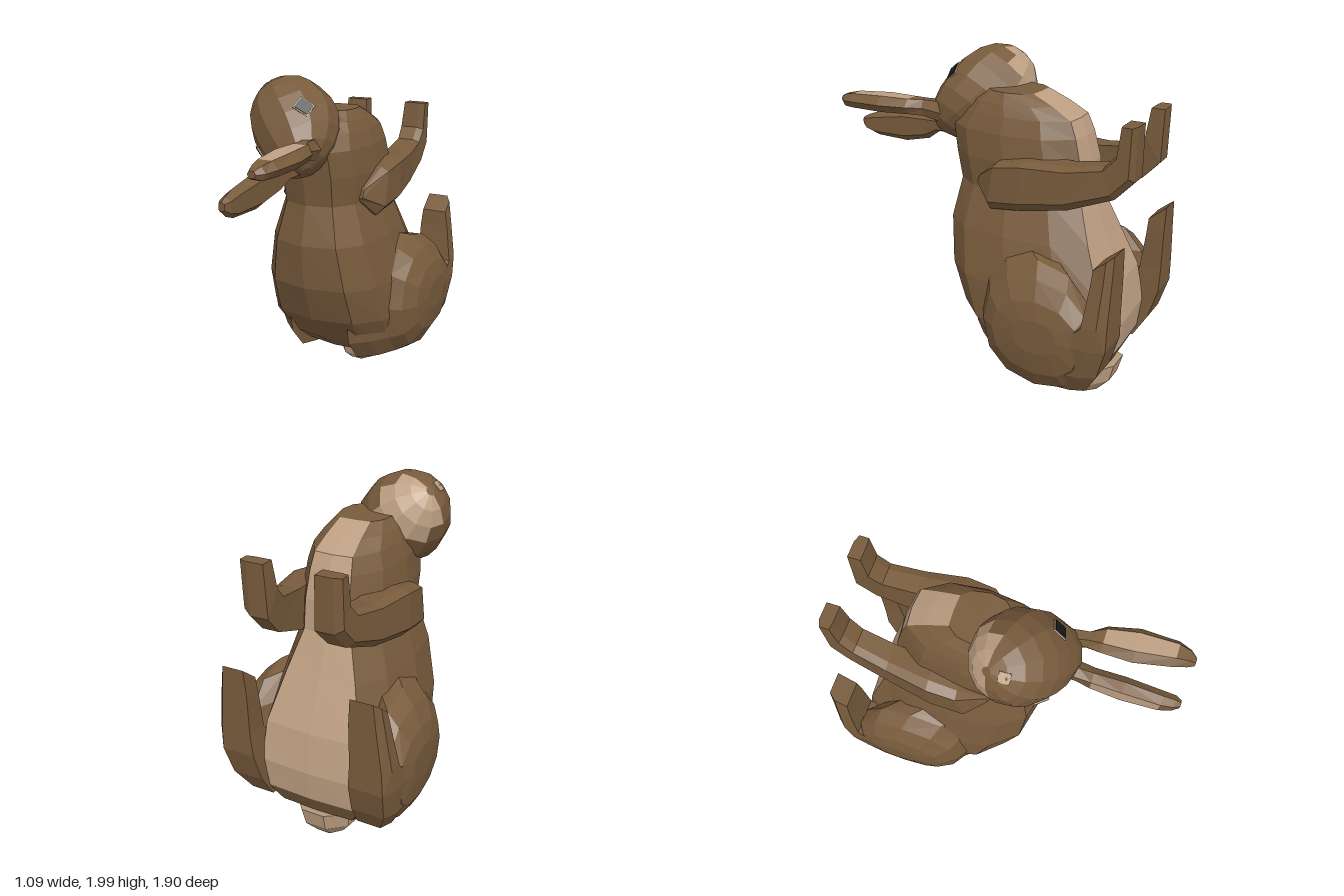
import * as THREE from 'three';

const V = (x, y, z) => new THREE.Vector3(x, y, z);

const fur = new THREE.MeshStandardMaterial({ color: 0x785b3c });
fur.name = 'brown fur';
const cream = new THREE.MeshStandardMaterial({ color: 0xbd9f82 });
cream.name = 'cream fur';
const black = new THREE.MeshStandardMaterial({ color: 0x17191b });
black.name = 'eye black';

// Closed faceted skin over cross-section rings; paint(band, segment, centroid) picks cream faces
function loft(name, rings, paint = () => false) {
  const tris = [[], []];
  let volume = 0;
  const add = (a, b, c, light) => {
    volume += a.dot(b.clone().cross(c));
    tris[light ? 1 : 0].push([a, b, c]);
  };
  const n = rings[0].length;
  for (let i = 0; i < rings.length - 1; i++) {
    for (let j = 0; j < n; j++) {
      const k = (j + 1) % n;
      const [a, b, c, d] = [rings[i][j], rings[i][k], rings[i + 1][k], rings[i + 1][j]];
      const mid = a.clone().add(b).add(c).add(d).multiplyScalar(0.25);
      const light = paint(i, j, mid);
      add(a, b, c, light);
      add(a, c, d, light);
    }
  }
  const centre = (r) => r.reduce((s, p) => s.add(p), V(0, 0, 0)).divideScalar(n);
  const first = rings[0], last = rings[rings.length - 1];
  const c0 = centre(first), c1 = centre(last);
  for (let j = 0; j < n; j++) {
    const k = (j + 1) % n;
    add(c0, first[k], first[j], paint(0, j, c0));
    add(c1, last[j], last[k], paint(rings.length - 1, j, c1));
  }
  // Turn the skin outwards whichever way the rings run
  const pos = [];
  const geo = new THREE.BufferGeometry();
  tris.forEach((list, m) => {
    geo.addGroup(pos.length / 3, list.length * 3, m);
    for (const [a, b, c] of list) {
      for (const p of volume > 0 ? [a, b, c] : [a, c, b]) pos.push(p.x, p.y, p.z);
    }
  });
  geo.setAttribute('position', new THREE.Float32BufferAttribute(pos, 3));
  geo.computeVertexNormals();
  const mesh = new THREE.Mesh(geo, [fur, cream]);
  mesh.name = name;
  return mesh;
}

const around = (n, f) => Array.from({ length: n }, (_, j) => f((j / n) * Math.PI * 2, j));

function makeBody() {
  // height, back z, belly z, half width, half width of the pale belly
  const rows = [
    [0.18, -0.36, -0.64, 0.18, 0.09], [0.26, -0.2, -0.8, 0.33, 0.22], [0.37, -0.05, -0.85, 0.4, 0.29],
    [0.55, 0.1, -0.87, 0.43, 0.3], [0.78, 0.19, -0.83, 0.41, 0.28], [1.05, 0.215, -0.72, 0.34, 0.21],
    [1.28, 0.165, -0.63, 0.26, 0.14], [1.45, 0.195, -0.62, 0.27, 0.13], [1.6, 0.22, -0.58, 0.25, 0.12],
    [1.69, 0.16, -0.54, 0.22, 0.11], [1.75, 0.1, -0.43, 0.19, 0.1], [1.805, 0, -0.3, 0.15, 0.09],
  ];
  const soft = (v) => Math.sign(v) * Math.pow(Math.abs(v), 0.78);
  const rings = rows.map(([y, zb, zf, w, pale]) => around(12, (a, j) => {
    const edge = j === 1 ? 1 : j === 11 ? -1 : 0;
    const depth = edge ? 0.97 : soft(Math.cos(a));
    return V(edge ? edge * pale : w * soft(Math.sin(a)), y, (zb + zf) / 2 - ((zb - zf) / 2) * depth);
  }));
  return loft('body', rings, (i, j) => i >= 2 && i < 11 && (j === 0 || j === 11));
}

// Broad thigh swelling out of the flank: x, front z, rear z, bottom y, top y
function makeHaunch(s) {
  const rows = [
    [0.2, 0.04, -0.68, 0.2, 1.02], [0.3, -0.06, -0.74, 0.2, 1.02], [0.38, -0.15, -0.84, 0.22, 0.99],
    [0.46, -0.2, -0.86, 0.27, 0.92], [0.52, -0.29, -0.82, 0.38, 0.82], [0.545, -0.43, -0.7, 0.52, 0.72],
  ];
  const soft = (v) => Math.sign(v) * Math.pow(Math.abs(v), 0.9);
  const rings = rows.map(([x, za, zb, ya, yb]) => around(12, (a) => V(s * x,
    (ya + yb) / 2 + ((yb - ya) / 2) * soft(Math.sin(a)), (za + zb) / 2 + ((za - zb) / 2) * soft(Math.cos(a)))));
  return loft(s > 0 ? 'leftHaunch' : 'rightHaunch', rings);
}

// Foreleg: lower and upper edge points (z, y), inner and outer x
function makeForeleg(s) {
  const rows = [
    [-0.04, 1.3, -0.06, 1.36, 0.18, 0.26], [-0.15, 1.19, -0.2, 1.47, 0.18, 0.35],
    [-0.35, 1.215, -0.36, 1.5, 0.17, 0.355], [-0.6, 1.26, -0.6, 1.5, 0.16, 0.315],
    [-0.85, 1.36, -0.79, 1.53, 0.14, 0.285], [-0.95, 1.47, -0.855, 1.6, 0.13, 0.28],
    [-0.95, 1.755, -0.875, 1.755, 0.14, 0.28],
  ];
  const rings = rows.map(([z0, y0, z1, y1, xi, xo]) => {
    const p = (x, t) => V(s * x, y0 + (y1 - y0) * t, z0 + (z1 - z0) * t);
    const bevel = xo - (xo - xi) * 0.3;
    return [p(xi, 0), p(bevel, 0), p(xo, 0.2), p(xo, 0.92), p(bevel, 1), p(xi, 1)];
  });
  return loft(s > 0 ? 'leftForeleg' : 'rightForeleg', rings);
}

// Hind foot: height at front and rear edge, z range, x range
function makeFoot(s) {
  const rows = [
    [0.3, 0.28, -0.82, -0.6, 0.27, 0.44], [0.44, 0.42, -0.9, -0.62, 0.28, 0.51],
    [0.62, 0.62, -0.95, -0.7, 0.29, 0.53], [0.76, 0.74, -0.95, -0.82, 0.3, 0.52],
    [1.0, 0.96, -0.95, -0.845, 0.3, 0.485], [1.145, 1.06, -0.95, -0.85, 0.31, 0.465],
  ];
  const rings = rows.map(([ya, yb, za, zb, xi, xo]) => {
    const b = (xo - xi) * 0.18;
    return [V(s * xi, ya, za), V(s * (xo - b), ya, za), V(s * xo, (ya * 2 + yb) / 3, za * 0.67 + zb * 0.33),
      V(s * xo, yb, zb), V(s * xi, yb, zb)];
  });
  return loft(s > 0 ? 'leftFoot' : 'rightFoot', rings);
}

// Bowl-shaped tail: centre height, centre z, half width, half length, tilt
function makeTail() {
  const rows = [[0.21, -0.645, 0.18, 0.215, 0.065], [0.12, -0.64, 0.165, 0.19, 0.04],
    [0.045, -0.62, 0.1, 0.12, 0.01], [0.005, -0.6, 0.02, 0.03, 0]];
  const rings = rows.map(([y, z, w, l, tilt]) => around(8, (a) => {
    const t = a + Math.PI / 8;
    return V(w * Math.sin(t), y - tilt * Math.cos(t), z + l * Math.cos(t));
  }));
  return loft('tail', rings, () => true);
}

// Ear: lies flat on one side, reflected across the tilted head for the other
function makeEar(reflected) {
  const rows = [
    [0.26, 0.1, 0.06, 1.635, 0.06], [0.39, 0.125, 0.045, 1.65, 0.048], [0.47, 0.148, 0.078, 1.655, 0.044],
    [0.64, 0.167, 0.1, 1.655, 0.047], [0.85, 0.187, 0.075, 1.65, 0.042], [0.92, 0.187, 0.05, 1.642, 0.035],
    [0.955, 0.18, 0.025, 1.64, 0.018],
  ];
  const place = (x, y, z) => reflected ? V(1.64 - y, 1.64 - x, z) : V(x, y, z);
  const outline = [[-1, 0], [-0.55, 1], [0.55, 1], [1, 0], [0.6, -1], [-0.6, -1]];
  const rings = rows.map(([z, cx, w, cy, t]) => outline.map(([u, v]) => place(cx + u * w, cy + v * t, z)));
  return loft(reflected ? 'rightEar' : 'leftEar', rings, (i, j) => j === 1 && (i === 2 || i === 3));
}

function makeHead() {
  const head = new THREE.Group();
  head.name = 'head';
  const R = V(0.255, 0.255, 0.315);
  // Rings from the back of the skull, drawn up towards the ears, to the muzzle
  const rings = [];
  for (let i = 0; i <= 9; i++) {
    const t = 0.1 + (i / 9) * (Math.PI - 0.2);
    const back = Math.max(0, Math.cos(t)) ** 2;
    rings.push(around(12, (a) => V(R.x * Math.sin(t) * Math.cos(a),
      R.y * Math.sin(t) * Math.sin(a) + 0.1 * back, -R.z * Math.cos(t) - 0.02 * back)));
  }
  // Pale chin
  head.add(loft('skull', rings, (i, j, c) => c.y < -0.01 && c.z > 0 && Math.abs(c.x) < 0.155));
  // Thin plates resting on the skull
  const onSkull = (name, x, y, z, plates) => {
    const spot = new THREE.Group();
    spot.name = name;
    const dir = V(x, y, z).normalize();
    spot.position.copy(dir).divideScalar(dir.clone().divide(R).length()).multiplyScalar(0.98);
    const normal = spot.position.clone().divide(R).divide(R).normalize();
    spot.quaternion.setFromUnitVectors(V(0, 0, 1), normal);
    plates.forEach(([part, w, h, material], i) => {
      const plate = new THREE.Mesh(new THREE.BoxGeometry(w, h, 0.008), material);
      plate.name = part;
      plate.position.z = i * 0.004;
      spot.add(plate);
    });
    head.add(spot);
  };
  for (const s of [-1, 1]) {
    onSkull(s < 0 ? 'leftEye' : 'rightEye', s * 0.79, 0.56, -0.22,
      [['eyeRim', 0.094, 0.084, cream], ['eyeball', 0.08, 0.07, black]]);
  }
  onSkull('nose', 0, 0.09, 0.29, [['noseTip', 0.06, 0.06, cream]]);
  // Head rolled over, muzzle pointing up and to the side
  const x = V(-1, -1, 0).normalize();
  const z = V(-0.66, 0.66, -0.36).normalize();
  const y = z.clone().cross(x);
  head.quaternion.setFromRotationMatrix(new THREE.Matrix4().makeBasis(x, y, z));
  head.position.set(-0.1, 1.717, 0.095);
  return head;
}

export function createModel() {
  const model = new THREE.Group();
  model.name = 'rabbit';
  model.add(makeBody(), makeHead(), makeEar(false), makeEar(true), makeTail());
  for (const s of [-1, 1]) model.add(makeHaunch(s), makeForeleg(s), makeFoot(s));
  return model;
}
